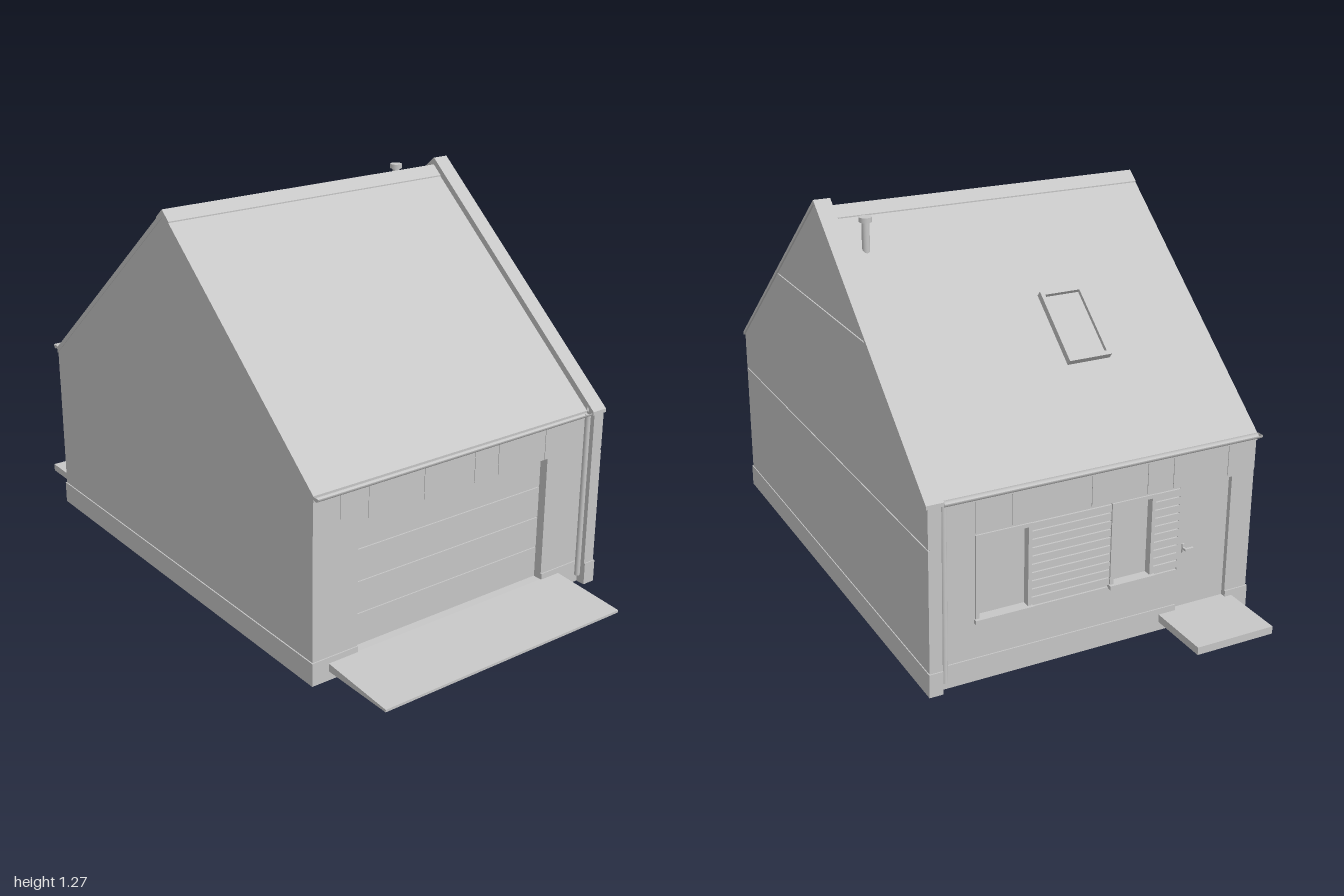
import * as THREE from 'three';

const RIDGE_Z = -0.02, PITCH = 0.842, ANGLE = Math.atan(PITCH), LEFT = -0.555, PARTY = 0.5;
const roofY = (z) => 1.243 - PITCH * Math.abs(z - RIDGE_Z);

export function createModel() {
  const house = new THREE.Group();
  house.name = 'house';
  const grey = new THREE.MeshStandardMaterial({ color: 0xc6c6c6, side: THREE.DoubleSide });
  grey.name = 'plain grey';

  const add = (name, geometry, parent = house) => {
    const mesh = new THREE.Mesh(geometry, grey);
    mesh.name = name;
    parent.add(mesh);
    return mesh;
  };
  // Box given by its limits on each axis
  const block = (name, x0, x1, y0, y1, z0, z1, parent) => {
    const m = add(name, new THREE.BoxGeometry(x1 - x0, y1 - y0, z1 - z0), parent);
    m.position.set((x0 + x1) / 2, (y0 + y1) / 2, (z0 + z1) / 2);
    return m;
  };
  // Side profile of [z, y] points swept from x0 to x1
  const sweep = (name, points, x0, x1) => {
    const shape = new THREE.Shape(points.map(([z, y]) => new THREE.Vector2(-z, y)));
    const g = new THREE.ExtrudeGeometry(shape, { depth: x1 - x0, bevelEnabled: false });
    return add(name, g.rotateY(Math.PI / 2).translate(x0, 0, 0));
  };
  // Wall slab with rectangular openings [x0, x1, y0, y1]
  const wall = (name, z0, z1, openings) => {
    const rect = (T, x0, x1, y0, y1) => new T([[x0, y0], [x1, y0], [x1, y1], [x0, y1]]
      .map(([x, y]) => new THREE.Vector2(x, y)));
    const shape = rect(THREE.Shape, LEFT, PARTY, 0, 0.585);
    shape.holes = openings.map((o) => rect(THREE.Path, ...o));
    const g = new THREE.ExtrudeGeometry(shape, { depth: z1 - z0, bevelEnabled: false });
    return add(name, g.translate(0, 0, z0));
  };
  const pipe = (name, r, x, y0, y1, z) => {
    const m = add(name, new THREE.CylinderGeometry(r, r, y1 - y0, 16));
    m.position.set(x, (y0 + y1) / 2, z);
  };

  // House core, carried out to the wall faces above the eaves
  sweep('houseBody', [[0.7, 0], [0.7, 0.585], [0.735, 0.585], [0.735, roofY(0.735) - 0.01],
    [RIDGE_Z, 1.233], [-0.785, roofY(-0.785) - 0.01], [-0.785, 0.585], [-0.75, 0.585], [-0.75, 0]], LEFT, PARTY);

  // Roof covering and ridge cap
  const chevron = (name, zf, zb, lift, thick, x0, x1) => {
    const top = [zf, RIDGE_Z, zb].map((z) => [z, roofY(z) + lift]);
    const under = top.map(([z, y]) => [z, y - thick]).reverse();
    sweep(name, [...top, ...under], x0, x1);
  };
  chevron('roof', 0.742, -0.79, 0, 0.02, -0.557, PARTY);
  chevron('ridgeCap', 0.016, -0.056, 0.004, 0.006, -0.557, PARTY);

  // Raised party wall: solid core, coping and panels with open joints
  const gable = (y0, y1, apex = 1.26) => {
    const half = (y) => Math.min(0.787, (apex - y) / PITCH);
    const knee = apex - 0.787 * PITCH;
    const ys = y0 < knee && y1 > knee ? [y0, knee, y1] : [y0, y1];
    return [...ys.map((y) => [RIDGE_Z + half(y), y]),
      ...ys.reverse().filter((y) => y < apex).map((y) => [RIDGE_Z - half(y), y])];
  };
  sweep('partyWall', gable(0, 1.26), PARTY + 0.008, 0.544);
  for (const [y0, y1] of [[0.075, 0.465], [0.469, 0.933], [0.937, 1.26]]) {
    sweep('partyWallPanel', gable(y0, y1), 0.544, 0.549);
  }
  chevron('coping', 0.77, -0.81, 0.027, 0.012, PARTY, 0.555);
  sweep('partyWallUpstand', [[0.742, roofY(0.742) - 0.02], [RIDGE_Z, 1.22], [-0.79, roofY(-0.79) - 0.02],
    [-0.79, roofY(-0.79) + 0.02], [RIDGE_Z, 1.262], [0.742, roofY(0.742) + 0.02]], PARTY, 0.512);
  block('partyWallPlinth', 0.508, 0.552, 0, 0.075, -0.811, 0.771);

  // Front wall with recessed sectional garage door
  wall('frontWall', 0.7, 0.735, [[-0.395, 0.345, 0.055, 0.475]]);
  for (let i = 0; i < 4; i++) {
    const y = 0.055 + i * 0.105;
    block('garageDoorSection', -0.395, 0.345, y + 0.001, y + 0.103, 0.7, 0.706);
  }
  block('frontPlinth', LEFT, -0.395, 0, 0.075, 0.73, 0.739);
  block('frontPlinth', 0.345, PARTY + 0.008, 0, 0.075, 0.73, 0.739);
  block('sidePlinth', -0.559, -0.55, 0, 0.075, -0.788, 0.739);

  // Back wall: two windows, slatted cladding and entrance door
  const windows = [[0.215, 0.395, 0.195, 0.47], [-0.2, -0.05, 0.195, 0.47]];
  const cladding = [[-0.05, 0.215, 0.2, 0.468], [-0.29, -0.2, 0.2, 0.468]];
  const door = [-0.475, -0.29, 0.055, 0.468];
  // One wide opening holds windows and cladding; the door joins it
  wall('backWall', -0.785, -0.75, [[-0.289, 0.395, 0.195, 0.47], door]);
  for (const [x0, x1, y0, y1] of cladding) {
    const n = 10, step = (y1 - y0) / n;
    block('claddingBacking', x0, x1, y0 - 0.005, y1 + 0.002, -0.779, -0.75);
    for (let i = 0; i < n; i++) {
      block('claddingSlat', x0, x1, y0 + i * step + 0.002, y0 + (i + 1) * step - 0.002, -0.785, -0.775);
    }
  }
  for (const [x0, x1, y0, y1] of windows) {
    const b = 0.012;
    block('windowPane', x0, x1, y0, y1, -0.765, -0.75);
    block('windowFrameSide', x0, x0 + b, y0, y1, -0.79, -0.75);
    block('windowFrameSide', x1 - b, x1, y0, y1, -0.79, -0.75);
    block('windowFrameTop', x0, x1, y1 - b, y1, -0.79, -0.75);
    block('windowSill', x0 - 0.004, x1 + 0.004, y0 - 0.004, y0 + 0.009, -0.8, -0.75);
  }
  block('entranceDoor', ...door, -0.77, -0.75);
  block('doorHandlePlate', -0.322, -0.314, 0.24, 0.27, -0.776, -0.768);
  block('doorHandle', -0.345, -0.314, 0.253, 0.26, -0.792, -0.784);
  block('doorHandleStem', -0.321, -0.314, 0.253, 0.26, -0.786, -0.77);
  block('backPlinth', LEFT, -0.475, 0, 0.075, -0.789, -0.78);
  block('backPlinth', -0.29, PARTY + 0.008, 0, 0.075, -0.789, -0.78);

  // Panel band under the eaves, with narrow vertical joints
  const band = (name, joints, z0, z1) => {
    const xs = [LEFT, ...joints, PARTY];
    for (let i = 0; i < xs.length - 1; i++) block(name, xs[i] + 0.001, xs[i + 1] - 0.001, 0.476, 0.588, z0, z1);
  };
  band('frontEavesPanel', [-0.46, -0.36, -0.155, 0.04, 0.135, 0.33], 0.733, 0.737);
  band('backEavesPanel', [-0.455, -0.26, -0.17, 0.02, 0.28, 0.395], -0.788, -0.783);

  // Half-round gutters and downpipes
  for (const [z, pipeZ] of [[0.753, 0.749], [-0.803, -0.798]]) {
    const g = new THREE.CylinderGeometry(0.0125, 0.0125, PARTY + 0.557, 12, 1, false, 0, Math.PI);
    const gutter = add('gutter', g.rotateZ(-Math.PI / 2));
    gutter.position.set((PARTY - 0.557) / 2, 0.6, z);
    pipe('downpipe', 0.009, 0.498, 0.03, 0.592, pipeZ);
  }

  // Sloping garage ramp and entrance step
  sweep('garageRamp', [[0.735, 0.03], [1, 0.032], [1, 0.04], [0.735, 0.056]], -0.5, 0.42);
  block('entranceStep', -0.5, -0.23, 0.03, 0.055, -1, -0.785);

  // Roof window lying on the back slope
  const skylight = new THREE.Group();
  skylight.name = 'skylight';
  skylight.position.set(-0.1125, roofY(-0.432), -0.432);
  skylight.rotation.x = -ANGLE;
  house.add(skylight);
  block('skylightPane', -0.06, 0.06, -0.01, 0.01, -0.11, 0.11, skylight);
  for (const s of [-1, 1]) {
    const sx = s * 0.066, sz = s * 0.118;
    block('skylightSide', sx - 0.0065, sx + 0.0065, -0.01, 0.022, -0.125, 0.125, skylight);
    block('skylightEnd', -0.0725, 0.0725, -0.01, 0.022, sz - 0.007, sz + 0.007, skylight);
  }

  // Flue with cap
  pipe('flue', 0.012, 0.44, 1.1, 1.222, -0.147);
  pipe('flueCap', 0.02, 0.44, 1.22, 1.235, -0.147);

  return house;
}
